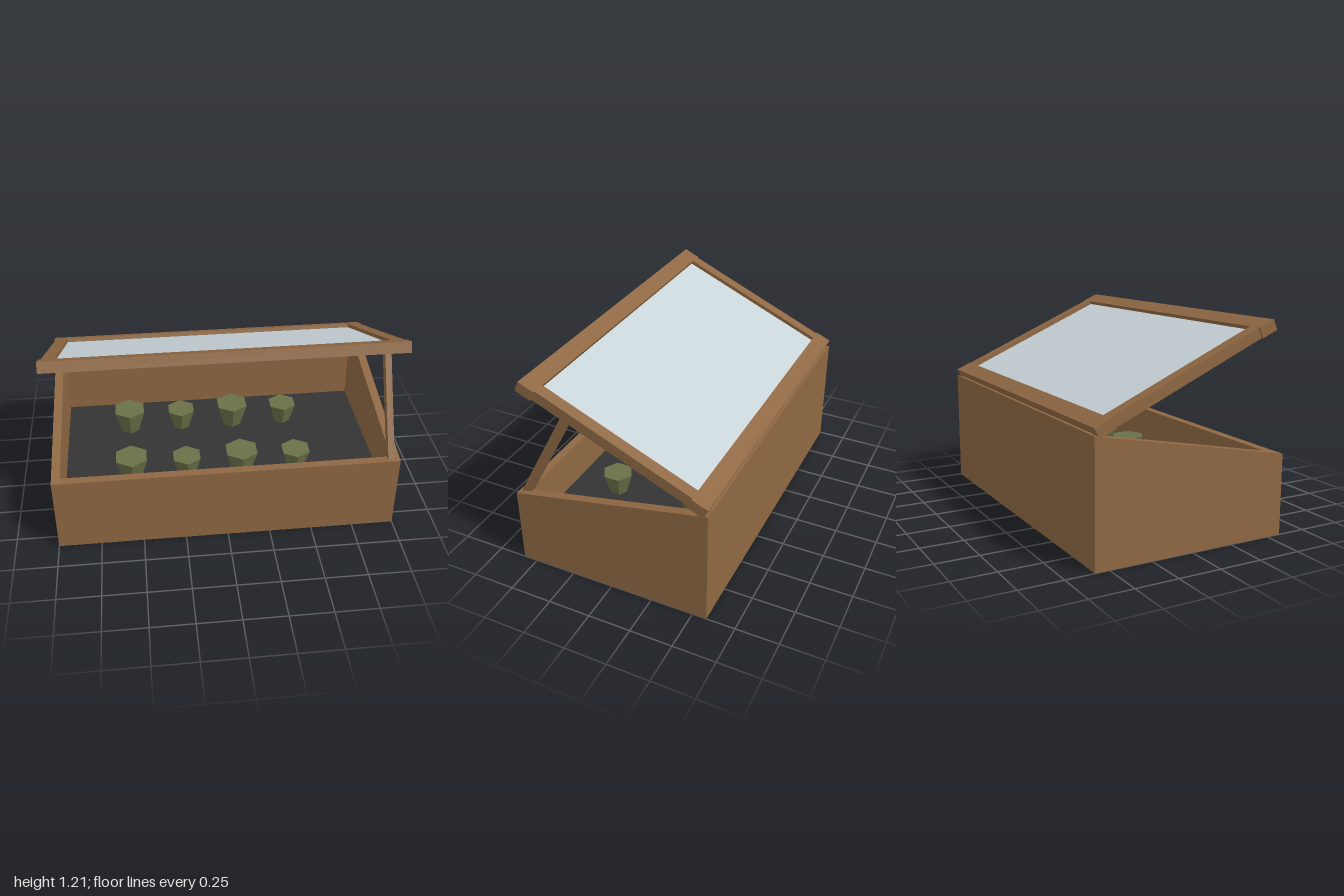
import * as THREE from 'three';

export function createModel() {
  const model = new THREE.Group();
  model.name = 'coldFrame';

  const mat = (name, color) => {
    const m = new THREE.MeshStandardMaterial({ color });
    m.name = name;
    return m;
  };
  const wood = mat('wood', 0x8f6843);
  const glass = mat('glass', 0xc8d3d7);
  const soil = mat('soil', 0x333333);
  const leaf = mat('leaf', 0x6a7047);
  leaf.flatShading = true;

  const add = (parent, name, geometry, material, x = 0, y = 0, z = 0) => {
    const mesh = new THREE.Mesh(geometry, material);
    mesh.name = name;
    mesh.position.set(x, y, z);
    parent.add(mesh);
    return mesh;
  };
  const box = (w, h, d) => new THREE.BoxGeometry(w, h, d);

  // Box dimensions
  const halfD = 0.583, wall = 0.05, frontH = 0.467, backH = 0.7, soilH = 0.22;

  // Sloping side walls
  const profile = new THREE.Shape([
    new THREE.Vector2(-halfD, 0),
    new THREE.Vector2(halfD, 0),
    new THREE.Vector2(halfD, backH),
    new THREE.Vector2(-halfD, frontH),
  ]);
  const sideGeo = new THREE.ExtrudeGeometry(profile, { depth: wall, bevelEnabled: false });
  sideGeo.rotateY(Math.PI / 2);
  add(model, 'leftWall', sideGeo, wood, 1 - wall);
  add(model, 'rightWall', sideGeo, wood, -1);

  // Front and back walls between the sides
  const innerW = 2 - 2 * wall;
  add(model, 'frontWall', box(innerW, frontH, wall), wood, 0, frontH / 2, halfD - wall / 2);
  add(model, 'backWall', box(innerW, backH, wall), wood, 0, backH / 2, -halfD + wall / 2);

  // Soil bed filling the lower part
  add(model, 'soilBed', box(innerW, soilH, 2 * (halfD - wall)), soil, 0, soilH / 2, 0);

  // Two rows of seedlings, alternating large and small
  for (const z of [-0.25, 0.25]) {
    for (let i = 0; i < 4; i++) {
      const big = i % 2 === 0;
      const r = big ? 0.106 : 0.093, h = big ? 0.153 : 0.133;
      add(model, 'seedling', new THREE.CylinderGeometry(r, r * 0.58, h, 6), leaf,
        -0.55 + i / 3, soilH + h / 2, z);
    }
  }

  // Glazed lid, hinged at the back and propped open
  const lid = new THREE.Group();
  lid.name = 'lid';
  lid.position.set(0, 0.683, -0.558);
  lid.rotation.x = -0.415;
  model.add(lid);
  const len = 1.166, thick = 0.062, rail = 0.1, innerX = 0.917, outerX = 0.988;
  add(lid, 'backRail', box(2, thick, rail), wood, 0, thick / 2, rail / 2);
  add(lid, 'frontRail', box(2, thick, rail), wood, 0, thick / 2, len - rail / 2);
  for (const s of [-1, 1]) {
    add(lid, 'sideRail', box(outerX - innerX, thick, len - 2 * rail), wood,
      s * (innerX + outerX) / 2, thick / 2, len / 2);
  }
  add(lid, 'glassPane', box(2 * innerX, 0.022, len - 2 * rail), glass, 0, 0.029, len / 2);

  // Prop stick holding the lid up
  const foot = new THREE.Vector3(0.95, 0.455, 0.547);
  const head = new THREE.Vector3(0.95, 1.032, 0.238);
  const prop = add(model, 'propStick', box(0.037, foot.distanceTo(head), 0.05), wood);
  prop.position.copy(foot).add(head).multiplyScalar(0.5);
  prop.rotation.x = Math.atan2(head.z - foot.z, head.y - foot.y);

  return model;
}
